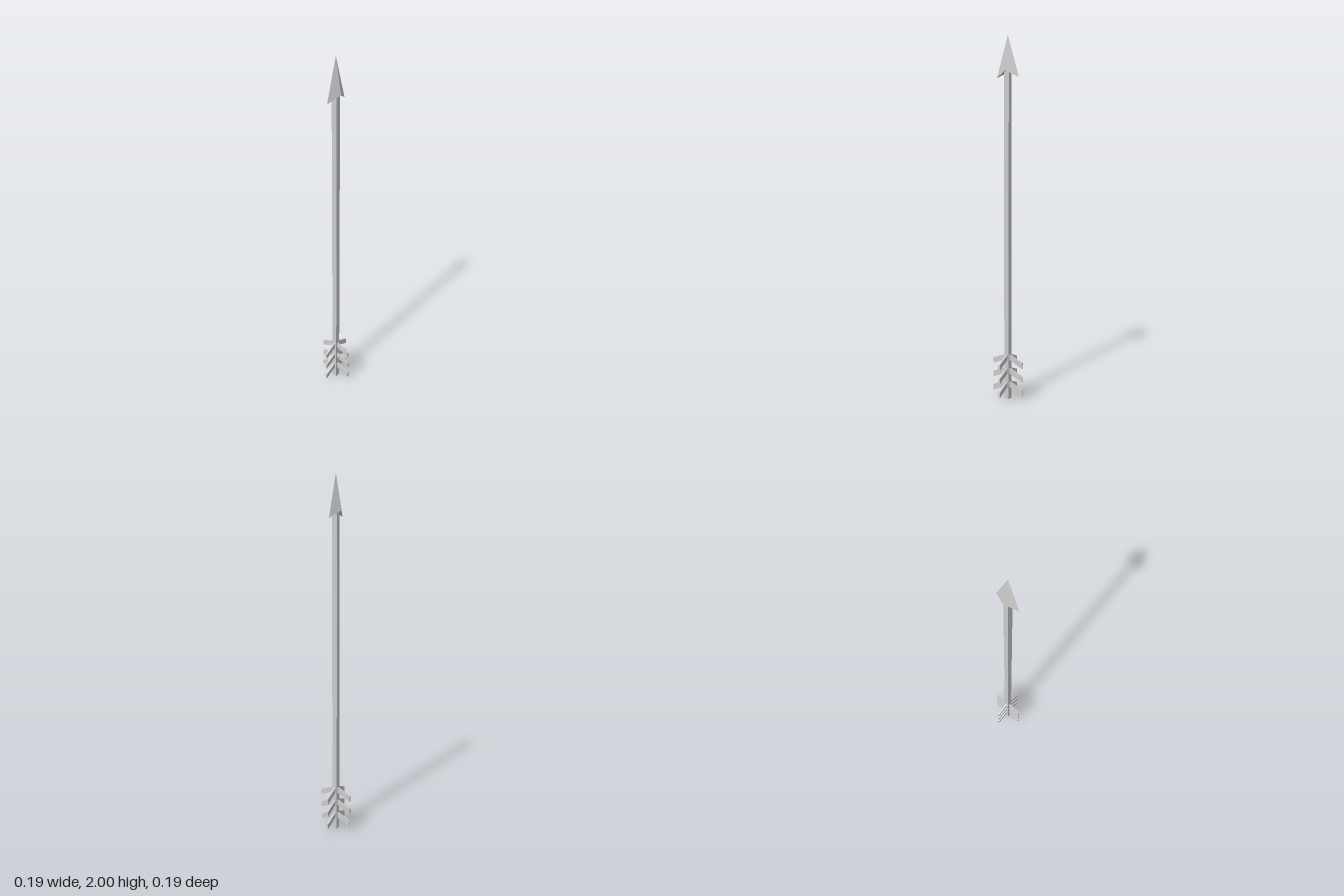
import * as THREE from 'three';

export function createModel() {
  const model = new THREE.Group();
  const material = new THREE.MeshStandardMaterial({ color: 0xcccccc, flatShading: true });
  const add = (geometry, name, parent = model) => {
    const mesh = new THREE.Mesh(geometry, material);
    mesh.name = name;
    parent.add(mesh);
    return mesh;
  };

  // Square shaft, running up into the head
  const shaftTop = 1.82;
  add(new THREE.BoxGeometry(0.029, shaftTop, 0.029), 'shaft').position.y = shaftTop / 2;

  // Four-sided head with swept-back side barbs and a folded underside
  const tip = [0, 2, 0];
  const left = [0.068, 1.78, 0], right = [-0.068, 1.78, 0];
  const front = [0, 1.815, 0.032], back = [0, 1.815, -0.032];
  const faces = [
    [tip, front, left], [tip, left, back], [tip, back, right], [tip, right, front],
    [left, front, back], [right, back, front],
  ];
  const head = new THREE.BufferGeometry();
  head.setAttribute('position', new THREE.Float32BufferAttribute(faces.flat(2), 3));
  head.computeVertexNormals();
  add(head, 'arrowhead');

  // Fletching: three tiers of crossed chevrons
  const reach = 0.094, drop = 0.043, height = 0.032, thickness = 0.01;
  const chevron = new THREE.Shape([
    [0, 0], [-reach, -drop], [-reach, -drop - height],
    [0, -height], [reach, -drop - height], [reach, -drop],
  ].map(([x, y]) => new THREE.Vector2(x, y)));
  const vane = new THREE.ExtrudeGeometry(chevron, { depth: thickness, bevelEnabled: false });
  vane.translate(0, 0, -thickness / 2);

  const fletching = new THREE.Group();
  fletching.name = 'fletching';
  for (let tier = 0; tier < 3; tier++) {
    for (const [name, turn] of [['sideVanes', 0], ['frontBackVanes', Math.PI / 2]]) {
      const mesh = add(vane, name, fletching);
      mesh.position.y = 0.107 + tier * 0.079;
      mesh.rotation.y = turn;
    }
  }
  model.add(fletching);
  return model;
}
